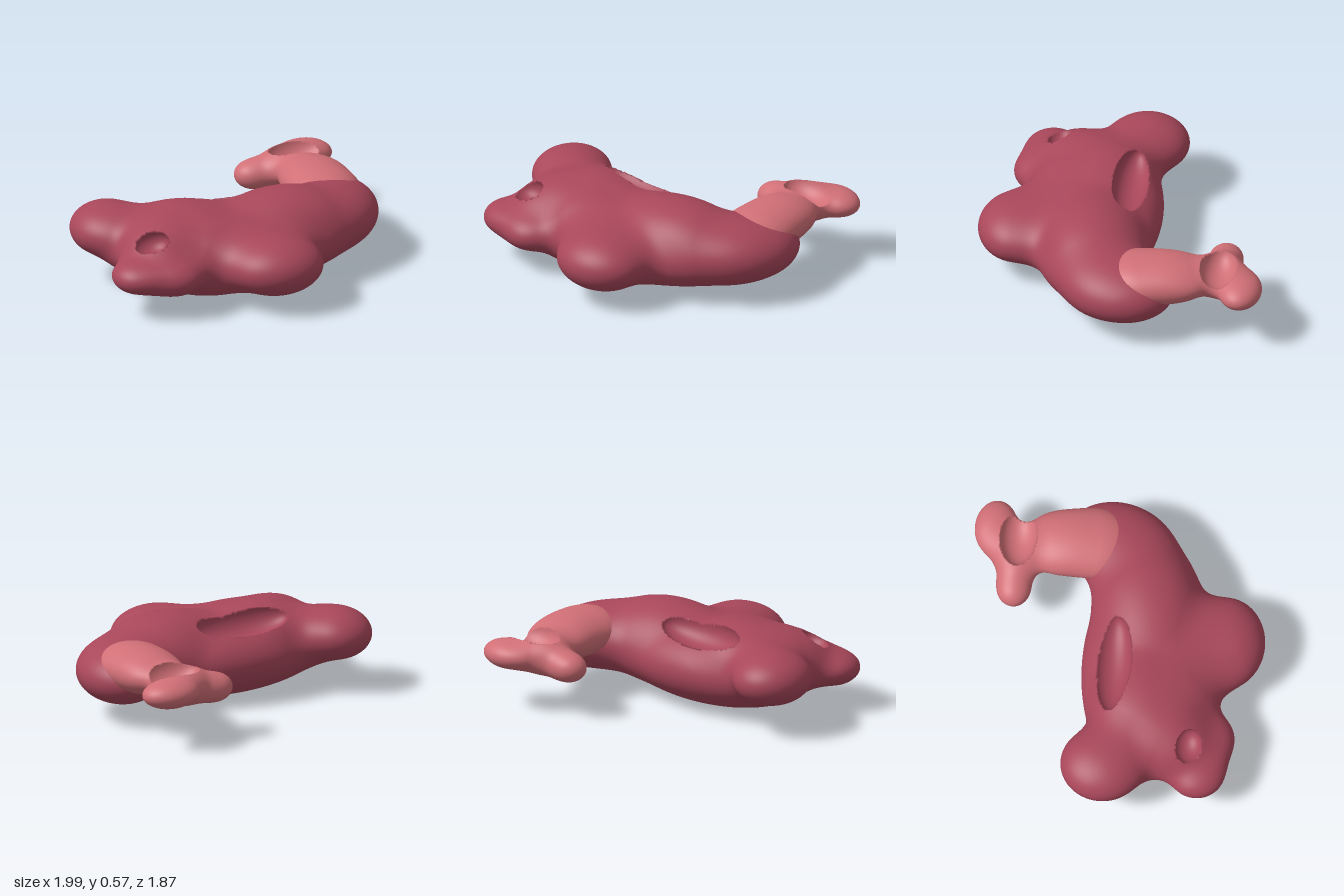
import * as THREE from 'three';

// Ellipsoid: centre x, y, z then radii x, y, z
const ellipsoid = ([cx, cy, cz, rx, ry, rz]) => (x, y, z) => {
  const a = (x - cx) / rx, b = (y - cy) / ry, c = (z - cz) / rz;
  const k0 = Math.hypot(a, b, c), k1 = Math.hypot(a / rx, b / ry, c / rz);
  return k1 < 1e-6 ? -Math.min(rx, ry, rz) : (k0 * (k0 - 1)) / k1;
};

// Lobes melted together with blend width k, then hollows cut out sharply
function blob(lobes, hollows, k) {
  const add = lobes.map(ellipsoid), cut = hollows.map(ellipsoid);
  return (x, y, z) => {
    let d = add[0](x, y, z);
    for (let i = 1; i < add.length; i++) {
      const e = add[i](x, y, z), h = Math.max(k - Math.abs(d - e), 0) / k;
      d = Math.min(d, e) - (h * h * k) / 4;
    }
    for (const c of cut) d = Math.max(d, -c(x, y, z));
    return d;
  };
}

function gradient(f, x, y, z, e = 0.002) {
  return new THREE.Vector3(
    f(x + e, y, z) - f(x - e, y, z),
    f(x, y + e, z) - f(x, y - e, z),
    f(x, y, z + e) - f(x, y, z - e)
  ).divideScalar(2 * e);
}

// Skin a field with one vertex per crossed grid cell
function skin(f, min, max, step) {
  const n = min.map((m, i) => Math.ceil((max[i] - m) / step) + 1);
  const stride = [1, n[0], n[0] * n[1]];
  const value = new Float32Array(n[0] * n[1] * n[2]);
  const vertex = new Int32Array(value.length).fill(-1);
  const each = (fn) => {
    for (let k = 0; k < n[2]; k++)
      for (let j = 0; j < n[1]; j++)
        for (let i = 0; i < n[0]; i++) fn([i, j, k], i + j * stride[1] + k * stride[2]);
  };
  each((p, id) => { value[id] = f(...p.map((q, a) => min[a] + q * step)); });

  const position = [], normal = [], index = [];
  each((p, id) => {
    if (p.some((q, a) => q >= n[a] - 1)) return;
    const sum = [0, 0, 0];
    let count = 0;
    for (let c = 0; c < 8; c++) {
      for (let a = 0; a < 3; a++) {
        if (c & (1 << a)) continue;
        const o = [c & 1, (c >> 1) & 1, (c >> 2) & 1];
        const i0 = id + o[0] + o[1] * stride[1] + o[2] * stride[2];
        const v0 = value[i0], v1 = value[i0 + stride[a]];
        if (v0 < 0 === v1 < 0) continue;
        o[a] += v0 / (v0 - v1);
        o.forEach((q, b) => { sum[b] += q; });
        count++;
      }
    }
    if (!count) return;
    const v = new THREE.Vector3(...sum.map((s, a) => min[a] + (p[a] + s / count) * step));
    // Pull the vertex onto the true surface
    for (let t = 0; t < 2; t++) {
      const g = gradient(f, v.x, v.y, v.z);
      const move = -f(v.x, v.y, v.z) / Math.max(g.lengthSq(), 0.2);
      v.addScaledVector(g, THREE.MathUtils.clamp(move, -step / 2, step / 2));
    }
    const g = gradient(f, v.x, v.y, v.z).normalize();
    vertex[id] = position.length / 3;
    position.push(v.x, v.y, v.z);
    normal.push(g.x, g.y, g.z);
  });

  each((p, id) => {
    for (let a = 0; a < 3; a++) {
      const b = (a + 1) % 3, c = (a + 2) % 3;
      if (p[a] >= n[a] - 1 || p[b] < 1 || p[c] < 1) continue;
      const inside = value[id] < 0;
      if (inside === value[id + stride[a]] < 0) continue;
      const q = [id, id - stride[b], id - stride[b] - stride[c], id - stride[c]].map((i) => vertex[i]);
      if (!inside) q.reverse();
      index.push(q[0], q[1], q[2], q[0], q[2], q[3]);
    }
  });

  const geometry = new THREE.BufferGeometry();
  geometry.setAttribute('position', new THREE.Float32BufferAttribute(position, 3));
  geometry.setAttribute('normal', new THREE.Float32BufferAttribute(normal, 3));
  geometry.setIndex(index);
  return geometry;
}

export function createModel() {
  const group = new THREE.Group();
  const darkRed = new THREE.MeshStandardMaterial({ color: 0xa8475a });
  const rosePink = new THREE.MeshStandardMaterial({ color: 0xd06f76 });
  darkRed.name = 'darkRed';
  rosePink.name = 'rosePink';

  const body = blob([
    [-0.05, 0.265, 0.22, 0.75, 0.26, 0.415], // main mass
    [-0.38, 0.4, 0.2, 0.25, 0.145, 0.25],   // left hump
    [0.33, 0.4, 0.19, 0.28, 0.16, 0.23],    // right hump
    [0.52, 0.3, 0.11, 0.33, 0.18, 0.28],    // bridge to the shoulder
    [-0.22, 0.27, 0.46, 0.33, 0.19, 0.2],  // front belly
    [-0.76, 0.36, -0.01, 0.24, 0.165, 0.26], // rear corner lobe
    [0.74, 0.3, -0.06, 0.255, 0.18, 0.32],  // shoulder under the arm
    [0.13, 0.28, 0.68, 0.3, 0.18, 0.255],   // front lobe
    [-0.72, 0.27, 0.58, 0.18, 0.11, 0.18],  // front corner lobe
    [-0.5, 0.26, 0.67, 0.14, 0.095, 0.125], // front corner bump
    [-0.56, 0.36, 0.4, 0.17, 0.13, 0.18],   // ridge behind the corner
  ], [
    [-0.14, 0.51, 0.005, 0.31, 0.12, 0.118], // long top hollow
    [-0.63, 0.45, 0.52, 0.11, 0.08, 0.085],  // small corner hollow
  ], 0.15);

  const arm = blob([
    [0.69, 0.38, -0.18, 0.23, 0.14, 0.27], // arm root
    [0.67, 0.385, -0.42, 0.2, 0.115, 0.2], // wrist
    [0.74, 0.37, -0.8, 0.18, 0.09, 0.135], // outer tip
    [0.38, 0.33, -0.66, 0.13, 0.095, 0.11], // inner tip
    [0.59, 0.37, -0.66, 0.15, 0.12, 0.13], // palm
  ], [
    [0.66, 0.49, -0.655, 0.19, 0.125, 0.118], // palm hollow
  ], 0.12);

  const bodyMesh = new THREE.Mesh(skin(body, [-1.08, -0.08, -0.5], [1.08, 0.68, 1.04], 0.014), darkRed);
  bodyMesh.name = 'body';
  const armMesh = new THREE.Mesh(skin(arm, [0.15, 0.1, -1.04], [1.02, 0.62, 0.16], 0.01), rosePink);
  armMesh.name = 'arm';
  group.add(bodyMesh, armMesh);
  return group;
}
